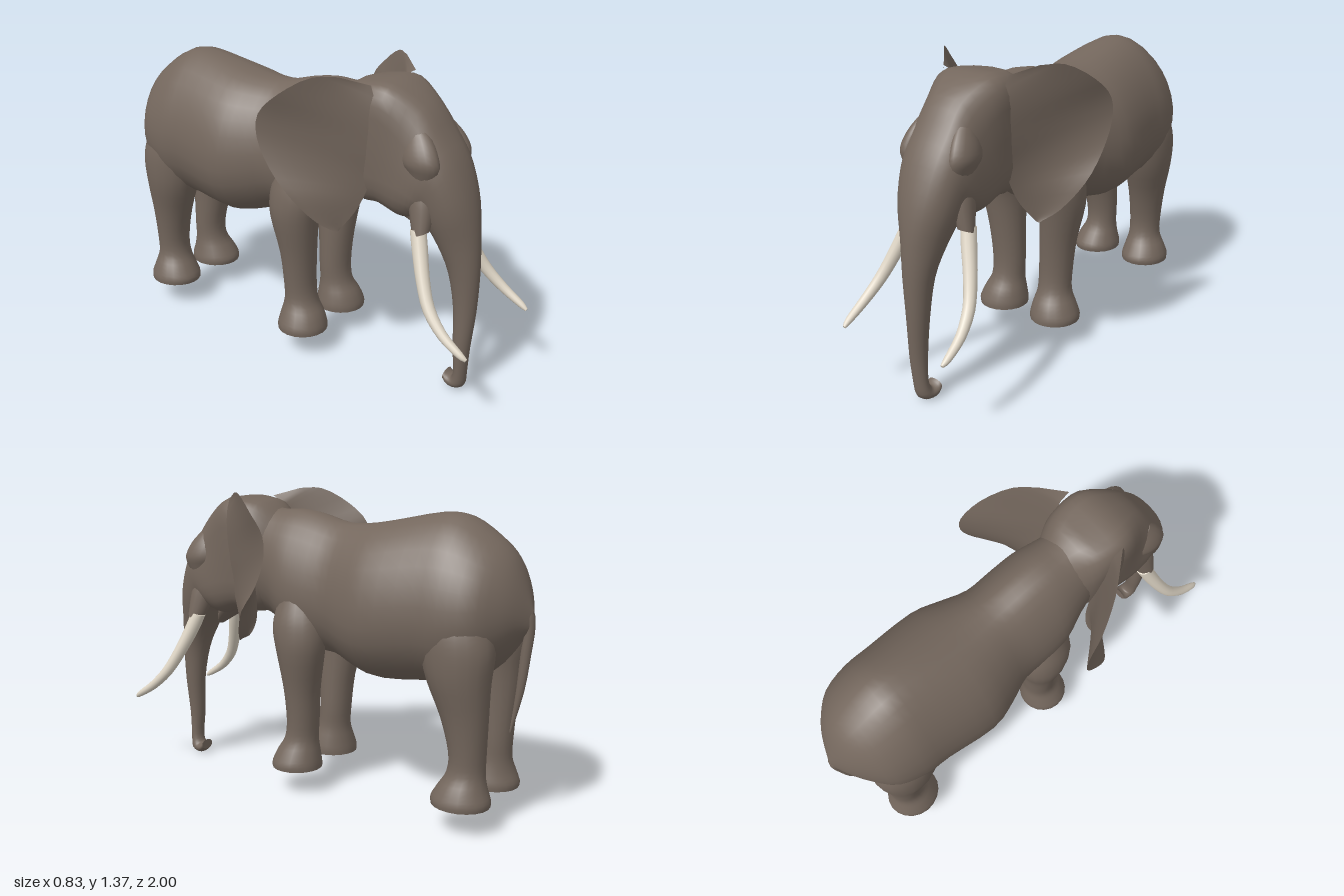
import * as THREE from 'three';

const skin = new THREE.MeshStandardMaterial({ color: 0x74675d });
skin.name = 'greyBrownSkin';
const ivory = new THREE.MeshStandardMaterial({ color: 0xded5c5 });
ivory.name = 'ivory';

function toGeometry(pos, idx) {
  const g = new THREE.BufferGeometry();
  g.setAttribute('position', new THREE.Float32BufferAttribute(pos, 3));
  g.setIndex(idx);
  g.computeVertexNormals();
  return g;
}

// smooth interpolation through the section rows, value by value
function sectionAt(rows, i, t) {
  const row = k => rows[Math.min(Math.max(k, 0), rows.length - 1)];
  const [a, b, c, d] = [row(i - 1), row(i), row(i + 1), row(i + 2)];
  return b.map((p, k) => p + 0.5 * t * (c[k] - a[k]
    + t * (2 * a[k] - 5 * p + 4 * c[k] - d[k] + t * (3 * (p - c[k]) + d[k] - a[k]))));
}

// closed skin over oval sections:
// [x, y, z, half width, half depth, tilt, squareness, bottom heaviness]
// tilt 0 runs forward, 90 runs down, 180 runs back
function loft(rows, sides = 20, steps = 3) {
  const rings = [];
  for (let i = 0; i < rows.length - 1; i++)
    for (let s = 0; s < steps; s++) rings.push(sectionAt(rows, i, s / steps));
  rings.push(rows[rows.length - 1]);
  const pos = [], idx = [];
  const soft = (v, e) => Math.sign(v) * Math.pow(Math.abs(v), e);
  const addRing = ([x, y, z, rx, rv, tilt, e = 1, heavy = 0]) => {
    const a = THREE.MathUtils.degToRad(tilt);
    for (let j = 0; j < sides; j++) {
      const q = j / sides * Math.PI * 2;
      const h = soft(Math.sin(q), e);
      const u = soft(Math.cos(q), e) * rx * (1 - heavy * h), v = h * rv;
      pos.push(x + u, y + v * Math.cos(a), z + v * Math.sin(a));
    }
  };
  rings.forEach(addRing);
  for (let i = 0; i < rings.length - 1; i++)
    for (let j = 0; j < sides; j++) {
      const a = i * sides + j, b = i * sides + (j + 1) % sides;
      idx.push(a, b, b + sides, a, b + sides, a + sides);
    }
  // end caps with their own corners
  [[rings[0], true], [rings[rings.length - 1], false]].forEach(([r, start]) => {
    const base = pos.length / 3;
    addRing(r);
    pos.push(r[0], r[1], r[2]);
    for (let j = 0; j < sides; j++) {
      const a = base + j, b = base + (j + 1) % sides, c = base + sides;
      start ? idx.push(c, b, a) : idx.push(c, a, b);
    }
  });
  return toGeometry(pos, idx);
}

function mirrored(geometry) {
  const g = geometry.clone(), p = g.attributes.position, ix = g.index;
  for (let i = 0; i < p.count; i++) p.setX(i, -p.getX(i));
  for (let i = 0; i < ix.count; i += 3) {
    const t = ix.getX(i);
    ix.setX(i, ix.getX(i + 1));
    ix.setX(i + 1, t);
  }
  g.computeVertexNormals();
  return g;
}

// ear: front and back sheets spread between a root edge and an outer edge,
// thick at the root and meeting along the outer edge
function earGeometry() {
  const curve = pts => new THREE.CatmullRomCurve3(pts.map(p => new THREE.Vector3(...p)));
  const root = curve([[.165, 1.34, .44], [.165, 1.22, .475], [.16, 1.06, .47],
    [.155, .93, .44], [.175, .80, .39], [.225, .705, .335]]);
  const edge = curve([[.25, 1.375, .34], [.315, 1.374, .26], [.385, 1.30, .14],
    [.412, 1.21, .055], [.415, 1.11, .05], [.405, .98, .11], [.385, .87, .20],
    [.31, .755, .28], [.24, .70, .332]]);
  const pos = [], idx = [], rows = 24, cols = 8;
  for (const back of [0, 1]) {
    const base = pos.length / 3;
    for (let i = 0; i <= rows; i++) {
      const t = i / rows, swell = Math.sqrt(Math.sin(Math.PI * Math.min(t, .9999)));
      const a = root.getPoint(t), b = edge.getPoint(t);
      for (let j = 0; j <= cols; j++) {
        const s = j / cols, p = a.clone().lerp(b, s);
        const dish = .012 * Math.sin(Math.PI * s) * swell;
        const depth = back * swell * (.12 * (1 - s) ** 2 + .02 * Math.sqrt(1 - s));
        pos.push(p.x - dish * .75, p.y, p.z - dish * .6 - depth);
      }
    }
    for (let i = 0; i < rows; i++)
      for (let j = 0; j < cols; j++) {
        const a = base + i * (cols + 1) + j, d = a + cols + 1;
        if (back) idx.push(a, a + 1, d, a + 1, d + 1, d);
        else idx.push(a, d, a + 1, a + 1, d, d + 1);
      }
  }
  return toGeometry(pos, idx);
}

export function createModel() {
  const model = new THREE.Group();
  model.name = 'elephant';
  const add = (name, geometry, material = skin) => {
    const m = new THREE.Mesh(geometry, material);
    m.name = name;
    model.add(m);
  };
  const addPair = (name, geometry, material) => {
    add('left' + name, geometry, material);
    add('right' + name, mirrored(geometry), material);
  };

  // barrel of the body, from rump to neck
  add('body', loft([
    [0, .90, -.99, .012, .04, 0, 1, 0], [0, .94, -.95, .10, .12, 0, 1, .05],
    [0, .955, -.90, .172, .205, 0, 1, .1], [0, .95, -.82, .248, .285, 0, 1, .14],
    [0, .953, -.70, .28, .353, 0, 1, .15], [0, .957, -.58, .284, .357, 0, 1, .15],
    [0, .925, -.35, .30, .345, 0, .95, .13], [0, .93, -.22, .265, .32, 0, .95, .15],
    [0, .95, -.10, .222, .30, 0, 1, .16], [0, .975, .04, .22, .31, 0, 1, .2],
    [0, 1.0, .14, .212, .298, 0, 1, .16], [0, 1.035, .24, .178, .26, 0, 1, .05],
    [0, 1.06, .34, .15, .25, 0, 1, 0],
  ], 28));

  // head flowing into the trunk, curled back at the tip
  add('headAndTrunk', loft([
    [0, 1.06, .22, .12, .20, 0, .95, 0], [0, 1.07, .30, .165, .255, 0, .75, -.08],
    [0, 1.075, .38, .178, .266, 0, .52, -.08], [0, 1.08, .475, .178, .266, 5, .5, -.05],
    [0, 1.025, .585, .166, .25, 10, .68, .12], [0, .965, .66, .164, .195, 18, .78, .06],
    [0, .915, .71, .15, .145, 35, .85, 0], [0, .815, .755, .128, .115, 56, .95, 0],
    [0, .705, .79, .094, .09, 75, 1, .1], [0, .57, .82, .064, .068, 84, 1, 0],
    [0, .40, .835, .048, .05, 90, 1, 0], [-.008, .22, .835, .04, .037, 90, 1, 0],
    [-.003, .10, .835, .036, .028, 95, 1, 0], [.003, .045, .822, .04, .034, 122, 1, 0],
    [.008, .038, .785, .042, .03, 165, 1, 0], [.01, .055, .762, .038, .024, 185, 1, 0],
  ], 28));

  add('lowerJaw', loft([
    [0, .87, .46, .11, .07, 0], [0, .825, .55, .10, .06, 0],
    [0, .765, .62, .06, .04, 0], [0, .73, .645, .03, .02, 0],
  ]));

  // brow ridge swelling gently out of the side of the face
  addPair('Brow', loft([
    [.10, 1.16, .62, .035, .05, 70], [.115, 1.11, .64, .048, .075, 78],
    [.126, 1.055, .66, .052, .085, 86], [.118, 1.01, .665, .048, .075, 92],
    [.105, .95, .66, .04, .05, 95],
  ], 18));

  addPair('Ear', earGeometry());

  addPair('TuskSocket', loft([
    [.09, .95, .64, .05, .07, 65], [.108, .88, .665, .052, .062, 65],
    [.128, .81, .68, .045, .05, 66], [.145, .76, .69, .036, .037, 68],
  ], 14));
  addPair('Tusk', loft([
    [.142, .78, .672, .034, .034, 70], [.165, .70, .70, .035, .033, 68],
    [.205, .59, .745, .031, .029, 64], [.24, .49, .80, .027, .026, 52],
    [.262, .41, .88, .022, .021, 38], [.268, .355, .965, .016, .015, 28],
    [.265, .337, .995, .007, .007, 25],
  ], 14), ivory);

  // legs, each widening into a flat round foot
  addPair('FrontLeg', loft([
    [.12, .95, .06, .085, .09, 90], [.145, .85, .055, .10, .12, 90],
    [.158, .77, .05, .105, .13, 90], [.163, .67, .042, .10, .115, 90],
    [.145, .50, .048, .086, .085, 90], [.135, .35, .05, .08, .074, 90],
    [.135, .26, .058, .08, .078, 90], [.142, .20, .07, .10, .10, 90],
    [.148, .15, .075, .116, .114, 90], [.148, .122, .075, .116, .116, 90],
  ]));
  addPair('HindLeg', loft([
    [.13, .95, -.72, .11, .13, 90], [.148, .86, -.725, .12, .155, 90],
    [.155, .77, -.735, .122, .16, 90], [.158, .65, -.745, .11, .138, 90],
    [.145, .50, -.77, .09, .103, 90], [.135, .35, -.785, .08, .08, 90],
    [.135, .26, -.782, .08, .082, 90], [.144, .20, -.772, .10, .105, 90],
    [.148, .15, -.767, .116, .128, 90], [.148, .122, -.767, .116, .126, 90],
  ]));

  add('tail', loft([
    [0, 1.02, -.905, .03, .02, 120], [0, .94, -.962, .035, .022, 105],
    [0, .87, -.978, .024, .02, 90], [0, .76, -.965, .02, .022, 86],
    [0, .60, -.947, .016, .017, 84], [0, .42, -.912, .004, .004, 80],
  ], 12));

  return model;
}
